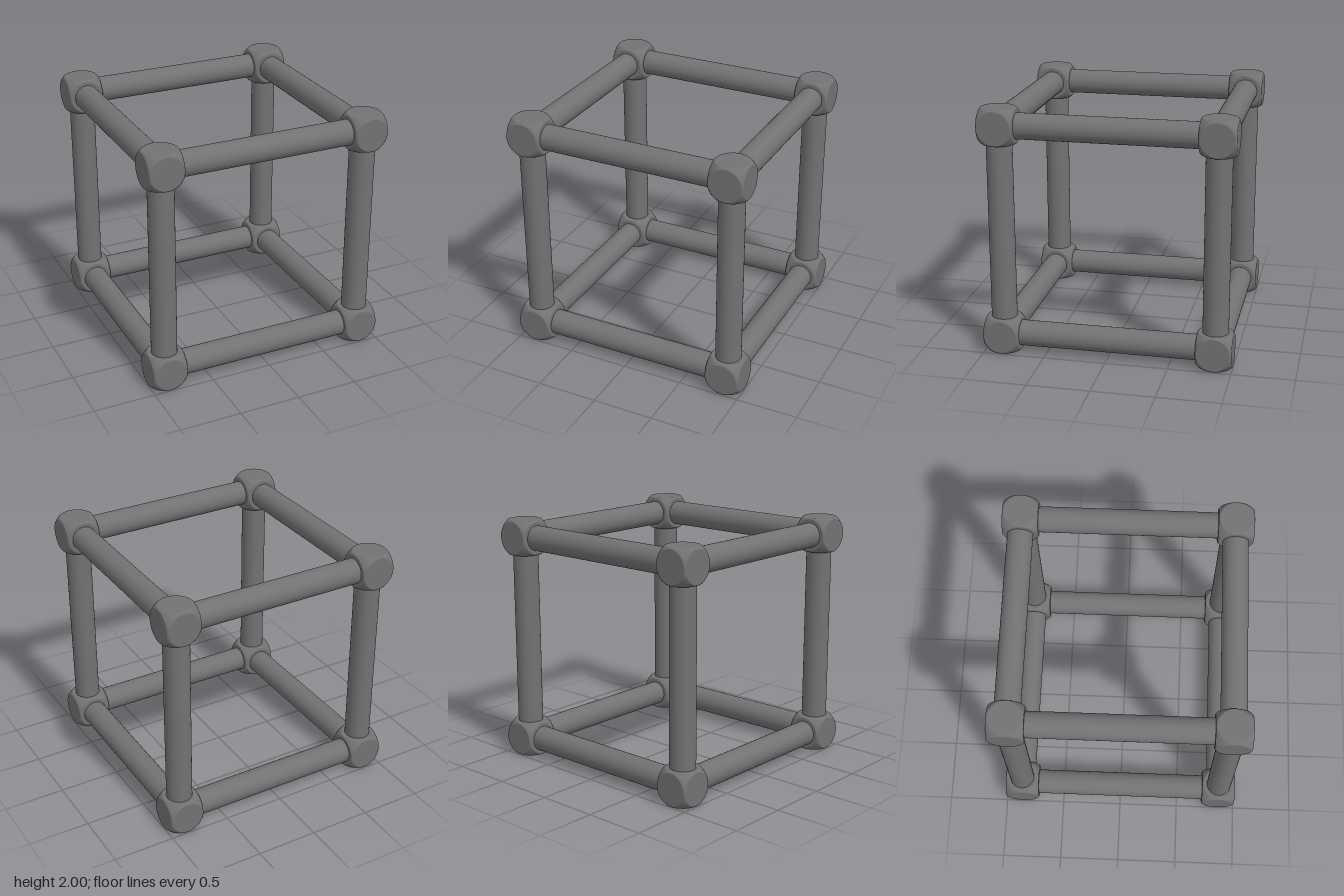
import * as THREE from 'three';
import { mergeGeometries } from 'three/addons/utils/BufferGeometryUtils.js';

const HALF = 0.143;     // half width of a corner joint
const ROUND = 0.196;    // radius of the ball that rounds the joint
const FILLET = 0.015;   // soft edge between flat side and ball
const C = 0.857;        // distance of joint centres from the frame's middle
const BAR = 0.103;      // bar radius

// One sixth of a joint: a flat disc on +z, a small fillet, then the ball surface
function jointSide() {
  const seg = 64, filletRows = 5, ballRows = 5;
  const depth = HALF - FILLET;
  const flat = Math.sqrt((ROUND - FILLET) ** 2 - depth ** 2);
  const blend = Math.atan2(flat, depth);
  const pos = [0, 0, HALF], nor = [0, 0, 1], index = [];
  const rows = filletRows + ballRows;
  for (let ring = 0; ring <= rows; ring++) {
    for (let i = 0; i <= seg; i++) {
      const a = (i / seg) * Math.PI * 2, c = Math.cos(a), s = Math.sin(a);
      const onBall = ring > filletRows;
      const outer = Math.atan2(1, Math.max(Math.abs(c), Math.abs(s)));
      const t = onBall
        ? blend + (outer - blend) * (ring - filletRows) / ballRows
        : blend * ring / filletRows;
      const radius = onBall ? ROUND * Math.sin(t) : flat + FILLET * Math.sin(t);
      const z = onBall ? ROUND * Math.cos(t) : depth + FILLET * Math.cos(t);
      pos.push(radius * c, radius * s, z);
      nor.push(Math.sin(t) * c, Math.sin(t) * s, Math.cos(t));
    }
  }
  const at = (ring, i) => 1 + ring * (seg + 1) + i;
  for (let i = 0; i < seg; i++) {
    index.push(0, at(0, i), at(0, i + 1));
    for (let k = 0; k < rows; k++) {
      index.push(at(k, i), at(k + 1, i), at(k + 1, i + 1));
      index.push(at(k, i), at(k + 1, i + 1), at(k, i + 1));
    }
  }
  const g = new THREE.BufferGeometry();
  g.setAttribute('position', new THREE.Float32BufferAttribute(pos, 3));
  g.setAttribute('normal', new THREE.Float32BufferAttribute(nor, 3));
  g.setIndex(index);
  return g;
}

export function createModel() {
  const model = new THREE.Group();
  model.name = 'cubeFrame';
  const material = new THREE.MeshStandardMaterial({ color: 0x727272 });
  const addMesh = (name, geometry, x, y, z) => {
    const mesh = new THREE.Mesh(geometry, material);
    mesh.name = name;
    mesh.position.set(x, y, z);
    model.add(mesh);
    return mesh;
  };

  // Corner joints: the side piece turned to all six directions
  const sides = [];
  for (let i = 0; i < 4; i++) sides.push(jointSide().rotateY(i * Math.PI / 2));
  for (const s of [-1, 1]) sides.push(jointSide().rotateX(s * Math.PI / 2));
  const joint = mergeGeometries(sides);

  // Bars: uprights stop just short of the top joints
  const bottom = 0.28, top = 1.708;
  const upright = new THREE.CylinderGeometry(BAR, BAR, top - bottom, 48);
  const rail = new THREE.CylinderGeometry(BAR, BAR, 2 * (C - HALF) + 0.02, 48);

  for (const a of [-1, 1]) {
    for (const b of [-1, 1]) {
      for (const y of [1 - C, 1 + C]) addMesh('cornerJoint', joint, a * C, y, b * C);
      addMesh('upright', upright, a * C, (bottom + top) / 2, b * C);
      addMesh('crossRail', rail, 0, 1 + a * C, b * C).rotation.z = Math.PI / 2;
      addMesh('sideRail', rail, a * C, 1 + b * C, 0).rotation.x = Math.PI / 2;
    }
  }
  return model;
}
